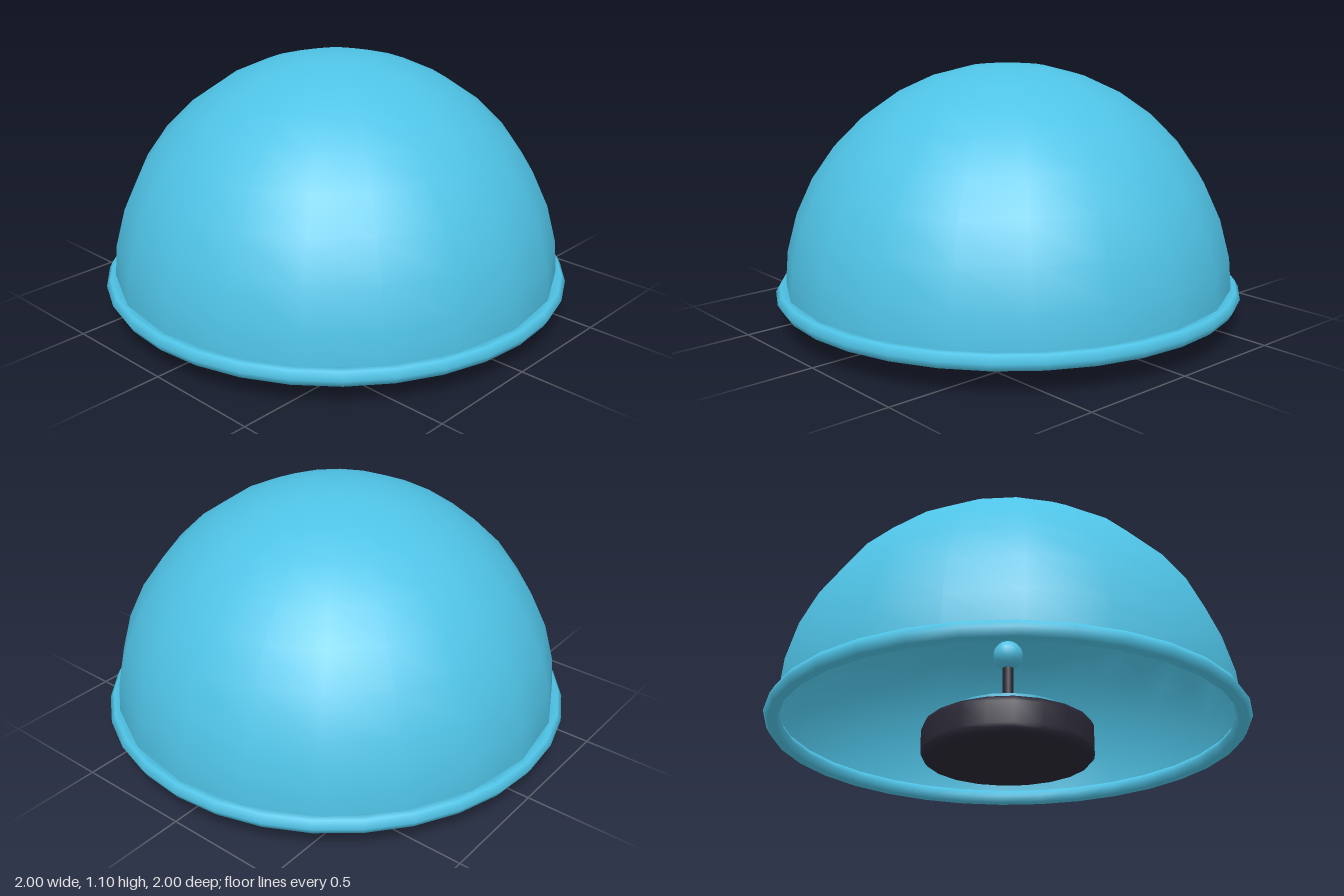
import * as THREE from 'three';

const rimY = 0.14;

export function createModel() {
  const model = new THREE.Group();
  const blue = new THREE.MeshStandardMaterial({ color: 0x4fc3e6 });
  blue.name = 'sky blue';
  blue.side = THREE.DoubleSide;
  const dark = new THREE.MeshStandardMaterial({ color: 0x2a2836 });
  dark.name = 'dark charcoal';

  const add = (name, geometry, material, y = 0) => {
    const mesh = new THREE.Mesh(geometry, material);
    mesh.name = name;
    mesh.position.y = y;
    model.add(mesh);
    return mesh;
  };

  // Open hemispherical shell
  add('dome', new THREE.SphereGeometry(0.96, 20, 9, 0, Math.PI * 2, 0, Math.PI / 2), blue, rimY);

  // Rolled lip around the opening
  const rim = new THREE.TorusGeometry(0.963, 0.035, 6, 32);
  rim.rotateX(Math.PI / 2);
  add('rim', rim, blue, rimY);

  // Round foot with softened edges
  const profile = [
    [0, 0], [0.32, 0], [0.345, 0.008], [0.357, 0.022], [0.36, 0.04],
    [0.36, 0.13], [0.35, 0.15], [0.33, 0.16], [0, 0.16],
  ].map(([r, y]) => new THREE.Vector2(r, y));
  add('base', new THREE.LatheGeometry(profile, 20), dark);

  // Raised disc on the foot, and the post with its ball inside the dome
  add('baseCap', new THREE.CylinderGeometry(0.26, 0.26, 0.04, 20), blue, 0.18);
  add('post', new THREE.CylinderGeometry(0.024, 0.024, 0.29, 10), dark, 0.305);
  add('ball', new THREE.SphereGeometry(0.064, 16, 12), blue, 0.477);

  return model;
}
